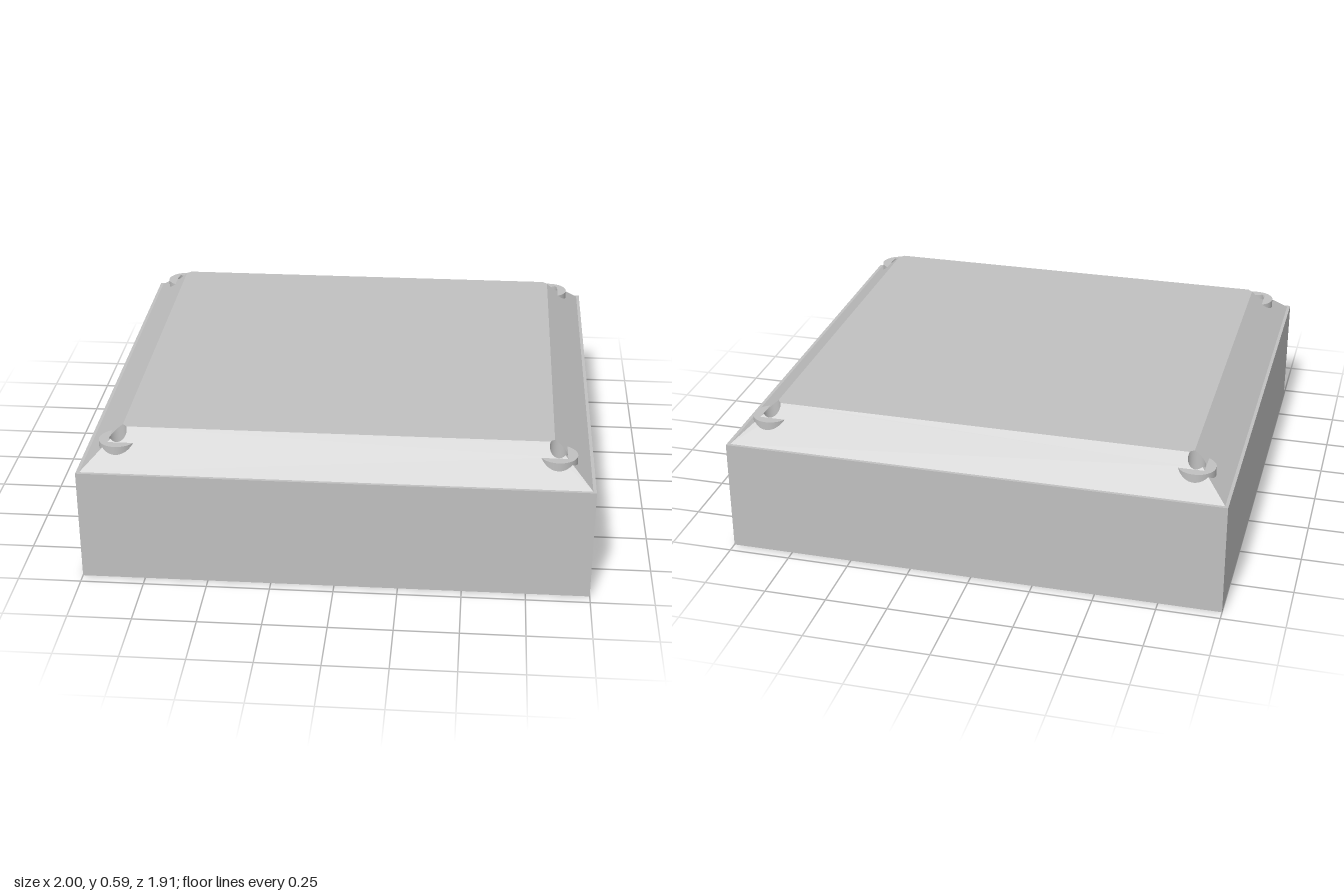
import * as THREE from 'three';

const HX = 1, HZ = 0.956;                 // half footprint
const INSET = 0.145, R = 0.035;           // screw hole position and radius
const BOSS_R = 0.075, BOSS_LOW = 0.2, BOSS_TOP = 0.545;
const OUTER = { foot: 0.013, footY: 0.46, top: 0.16, topY: 0.59 };
const INNER = { foot: 0.035, footY: 0.44, top: 0.165, topY: 0.545 };

// Height of a bevelled roof above a point of the plan
function roofHeight(r, x, z) {
  const inset = Math.min(HX - Math.abs(x), HZ - Math.abs(z));
  const t = THREE.MathUtils.clamp((inset - r.foot) / (r.top - r.foot), 0, 1);
  return r.footY + t * (r.topY - r.footY);
}

// Arc of a corner's screw hole, angles measured in that corner's mirrored frame
function holeArc(sx, sz, from, to, n = 14) {
  return Array.from({ length: n + 1 }, (_, i) => {
    const a = from + (to - from) * i / n;
    return new THREE.Vector2(sx * (HX - INSET + R * Math.cos(a)), sz * (HZ - INSET + R * Math.sin(a)));
  });
}

function flip(geo) {
  const idx = geo.index.array;
  for (let i = 0; i < idx.length; i += 3) [idx[i], idx[i + 1]] = [idx[i + 1], idx[i]];
  geo.computeVertexNormals();
  return geo;
}

// Plan outline lifted on to the roof surface
function roofPanel(points, r, down) {
  const geo = new THREE.ShapeGeometry(new THREE.Shape(points));
  const p = geo.attributes.position;
  for (let i = 0; i < p.count; i++) {
    const x = p.getX(i), z = -p.getY(i);
    p.setXYZ(i, x, roofHeight(r, x, z), z);
  }
  geo.computeVertexNormals();
  return down ? flip(geo) : geo;
}

// Flat top and four slopes, each notched by the screw holes
function roofPanels(r, down) {
  const b = Math.asin((r.top - INSET) / R), PI = Math.PI;
  const panels = [];
  const flat = [];
  for (const [sx, sz] of [[1, 1], [-1, 1], [-1, -1], [1, -1]]) {
    const arc = holeArc(sx, sz, PI + b, 1.5 * PI - b);
    flat.push(...(sx * sz > 0 ? arc.reverse() : arc));
  }
  panels.push(roofPanel(flat, r, down));
  const fx = HX - r.foot, fz = HZ - r.foot;
  for (const s of [1, -1]) {
    panels.push(roofPanel([
      new THREE.Vector2(s * fx, -fz), new THREE.Vector2(s * fx, fz),
      ...holeArc(s, 1, PI / 4, -PI / 2 - b),
      ...holeArc(s, -1, PI / 4, -PI / 2 - b).reverse(),
    ], r, down));
    panels.push(roofPanel([
      new THREE.Vector2(-fx, s * fz), new THREE.Vector2(fx, s * fz),
      ...holeArc(1, s, PI / 4, PI + b),
      ...holeArc(-1, s, PI / 4, PI + b).reverse(),
    ], r, down));
  }
  return panels;
}

// Rectangular walls swept from a profile of [inset, y]
function wallGeometry(profile) {
  const corners = [[1, 1], [1, -1], [-1, -1], [-1, 1]];
  const pos = [];
  const at = (k, [inset, y]) => [corners[k % 4][0] * (HX - inset), y, corners[k % 4][1] * (HZ - inset)];
  for (let i = 0; i < profile.length - 1; i++) {
    for (let k = 0; k < 4; k++) {
      const a = at(k, profile[i]), b = at(k, profile[i + 1]);
      const c = at(k + 1, profile[i + 1]), d = at(k + 1, profile[i]);
      pos.push(...a, ...b, ...c, ...a, ...c, ...d);
    }
  }
  const geo = new THREE.BufferGeometry();
  geo.setAttribute('position', new THREE.Float32BufferAttribute(pos, 3));
  geo.computeVertexNormals();
  return geo;
}

export function createModel() {
  const model = new THREE.Group();
  model.name = 'enclosureCover';
  const grey = new THREE.MeshStandardMaterial({ color: 0xc0c0c0 });
  grey.name = 'grey';
  const add = (parent, name, geo) => {
    const mesh = new THREE.Mesh(geo, grey);
    mesh.name = name;
    parent.add(mesh);
    return mesh;
  };

  // Side walls with open bottom and narrow ledges at the roof
  add(model, 'walls', wallGeometry([
    [OUTER.foot, OUTER.footY], [0, OUTER.footY], [0, 0],
    [0.022, 0], [0.022, INNER.footY], [INNER.foot, INNER.footY],
  ]));

  // Bevelled roof and its underside
  for (const geo of roofPanels(OUTER, false)) add(model, 'roofPanel', geo);
  for (const geo of roofPanels(INNER, true)) add(model, 'ceilingPanel', geo);

  // Hollow screw posts in the four corners
  const height = BOSS_TOP - BOSS_LOW;
  for (const sx of [1, -1]) for (const sz of [1, -1]) {
    const cx = sx * (HX - INSET), cz = sz * (HZ - INSET);
    const post = new THREE.Group();
    post.name = 'screwPost';
    post.position.set(cx, 0, cz);
    model.add(post);

    const side = new THREE.CylinderGeometry(BOSS_R, BOSS_R, height, 48, 1, true);
    add(post, 'postSide', side.translate(0, BOSS_LOW + height / 2, 0));
    const ring = () => new THREE.RingGeometry(R, BOSS_R, 48);
    add(post, 'postTop', ring().rotateX(-Math.PI / 2).translate(0, BOSS_TOP, 0));
    add(post, 'postBottom', ring().rotateX(Math.PI / 2).translate(0, BOSS_LOW, 0));

    // Hole wall, its upper rim following the roof
    const hole = new THREE.CylinderGeometry(R, R, 1, 48, 1, true);
    const p = hole.attributes.position;
    for (let i = 0; i < p.count; i++) {
      const rim = Math.max(BOSS_TOP, roofHeight(OUTER, cx + p.getX(i), cz + p.getZ(i)));
      p.setY(i, p.getY(i) > 0 ? rim : BOSS_LOW);
    }
    add(post, 'screwHole', flip(hole));
  }
  return model;
}
